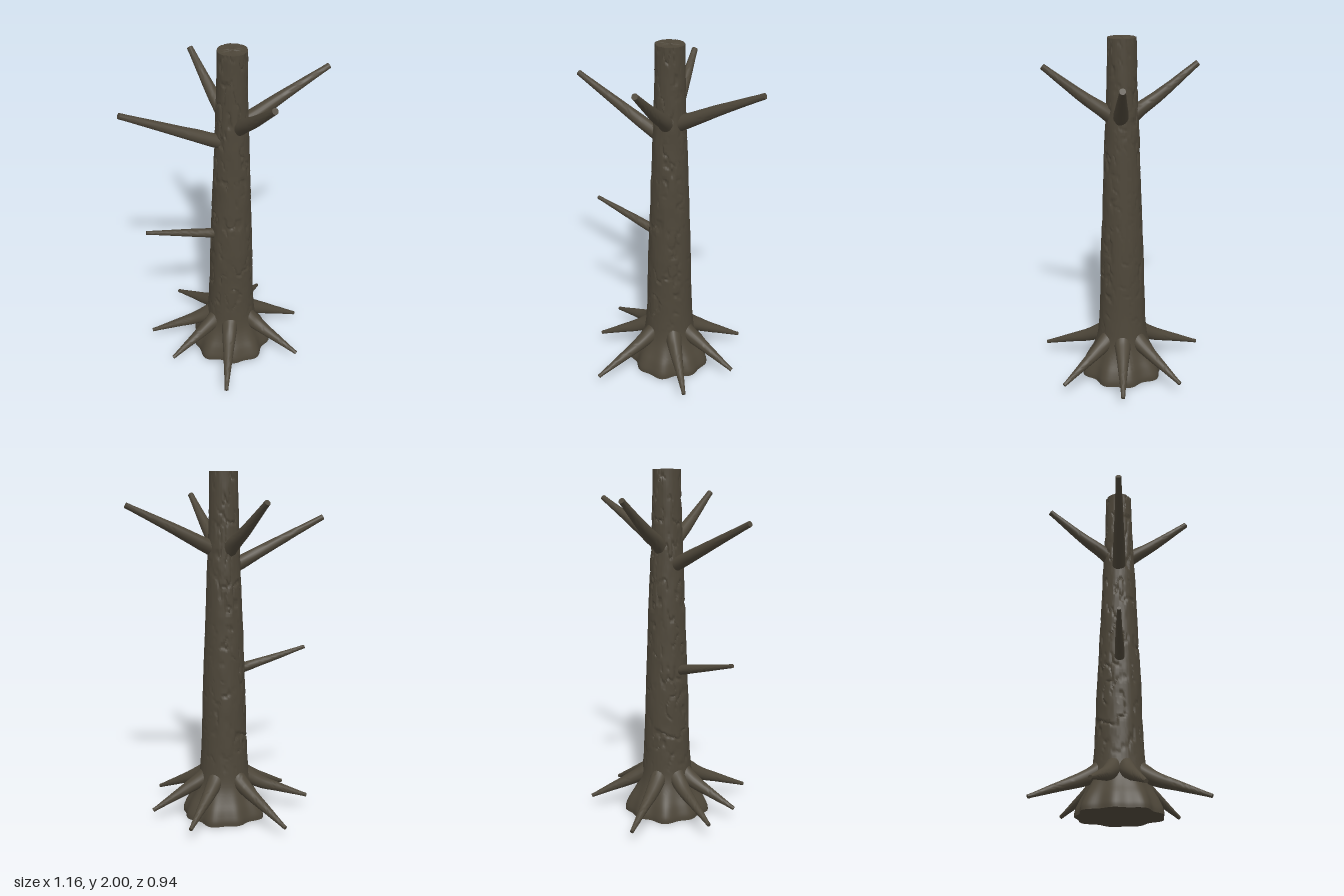
import * as THREE from 'three';
import { mergeVertices, toCreasedNormals } from 'three/addons/utils/BufferGeometryUtils.js';

const CENTER = 0.025; // trunk axis sits slightly off the origin in x and z
const { lerp, smoothstep, clamp } = THREE.MathUtils;

// Seeded lattice noise, periodic in x so bark wraps around the trunk
function hash(x, y) {
  const s = Math.sin(x * 127.1 + y * 311.7) * 43758.5453;
  return s - Math.floor(s);
}
function noise(x, y, period) {
  const ix = Math.floor(x), iy = Math.floor(y);
  const fx = smoothstep(x - ix, 0, 1), fy = smoothstep(y - iy, 0, 1);
  const h = (i, j) => hash((((ix + i) % period) + period) % period, iy + j);
  return lerp(lerp(h(0, 0), h(1, 0), fx), lerp(h(0, 1), h(1, 1), fx), fy);
}

// Keep only positions, weld the seam, and smooth all but the sharp rims
function finish(geometry, crease) {
  geometry.deleteAttribute('uv');
  geometry.deleteAttribute('normal');
  return toCreasedNormals(mergeVertices(geometry, 1e-5), crease);
}

// Trunk: lathe with a scalloped foot and furrowed bark
function trunkGeometry() {
  const outline = [
    [0.235, 0], [0.232, 0.03], [0.212, 0.08], [0.185, 0.13], [0.163, 0.18], [0.15, 0.23],
    [0.142, 0.3], [0.133, 0.45], [0.122, 0.8], [0.112, 1.05], [0.096, 1.45], [0.085, 1.7], [0.079, 2],
  ].map(([r, y]) => new THREE.Vector2(r, y));
  const side = new THREE.SplineCurve(outline).getSpacedPoints(230);
  const cap = [0.06, 0.045, 0.03, 0.015, 0].map((r) => new THREE.Vector2(r, 2));
  const geometry = new THREE.LatheGeometry([new THREE.Vector2(0, 0), ...side, ...cap], 112);

  const p = geometry.attributes.position;
  for (let i = 0; i < p.count; i++) {
    const x = p.getX(i), y = p.getY(i), z = p.getZ(i);
    const r = Math.hypot(x, z);
    if (r < 1e-4) continue;
    const a = Math.atan2(z, x);
    const turn = a / (Math.PI * 2);
    // scalloped foot, fading out at root height
    const foot = 1 - smoothstep(y, 0.02, 0.26);
    let scale = 1 + foot * (0.045 * Math.cos(9 * a + 0.6) + 0.035 * Math.sin(5 * a));
    // vertical furrows where the noise crosses its middle value
    const n = noise(turn * 18, y * 9, 18) * 0.7 + noise(turn * 36, y * 20, 36) * 0.3;
    const furrow = 1 - smoothstep(Math.abs(n - 0.5), 0.01, 0.07);
    const broken = smoothstep(noise(turn * 14, y * 16 + 50, 14), 0.25, 0.55);
    const onBark = smoothstep(y, 0.24, 0.4) * (r > 0.07 ? 1 : 0);
    const calm = 1 - 0.65 * smoothstep(Math.cos(a), 0.6, 0.95);
    const depth = 0.008 * furrow * broken - 0.006 * (n - 0.5);
    scale -= (onBark * calm * depth) / r;
    // rough cut on the top face
    const cut = y > 1.999 && r < 0.07 ? 0.004 * hash(Math.round(x * 900), Math.round(z * 900)) : 0;
    p.setXYZ(i, x * scale, y - cut, z * scale);
  }
  geometry.translate(CENTER, 0, CENTER);
  return finish(geometry, 1.1);
}

// Limb: tapered tube along a curve with a flat tip and faint grain
function limbGeometry(points, baseRadius, tipRadius) {
  const rings = 30, sides = 20;
  const curve = new THREE.CatmullRomCurve3(points.map((q) => new THREE.Vector3(...q)));
  const geometry = new THREE.TubeGeometry(curve, rings, 1, sides, false);
  const p = geometry.attributes.position;
  const v = new THREE.Vector3(), end = curve.getPointAt(1);
  for (let i = 0; i <= rings; i++) {
    const u = clamp(i / (rings - 1), 0, 1);
    const center = curve.getPointAt(i / rings);
    const target = i >= rings - 1 ? end : center;
    for (let j = 0; j <= sides; j++) {
      const k = i * (sides + 1) + j;
      const grain = 1 + 0.14 * (1 - u) * (noise((j % sides) / 2, u * 7 + baseRadius * 90, sides / 2) - 0.5);
      const radius = i === rings ? 0 : lerp(baseRadius, tipRadius, u) * grain;
      v.fromBufferAttribute(p, k).sub(center).multiplyScalar(radius).add(target);
      p.setXYZ(k, v.x, v.y, v.z);
    }
  }
  return finish(geometry, 0.9);
}

export function createModel() {
  const group = new THREE.Group();
  const bark = new THREE.MeshStandardMaterial({ color: 0x4d4639 });
  bark.name = 'darkBark';

  const add = (name, geometry) => {
    const mesh = new THREE.Mesh(geometry, bark);
    mesh.name = name;
    group.add(mesh);
  };

  add('trunk', trunkGeometry());

  // Branches: path, base radius, tip radius
  const branches = {
    leftBranch: [[[0.03, 1.55, 0.03], [0.12, 1.595, 0.045], [0.33, 1.705, 0.075], [0.57, 1.825, 0.108]], 0.046, 0.016],
    rightBranch: [[[0.0, 1.46, 0.02], [-0.08, 1.497, 0.01], [-0.32, 1.615, -0.025], [-0.573, 1.737, -0.066]], 0.042, 0.016],
    lowerRightBranch: [[[0.0, 0.855, 0.02], [-0.1, 0.88, 0.01], [-0.28, 0.925, -0.02], [-0.475, 0.975, -0.05]], 0.033, 0.011],
    frontBranch: [[[0.03, 1.54, 0.04], [0.033, 1.6, 0.115], [0.03, 1.69, 0.24], [0.025, 1.857, 0.45]], 0.046, 0.017],
    backBranch: [[[0.02, 1.53, 0.01], [0.018, 1.6, -0.065], [0.01, 1.685, -0.19], [-0.006, 1.848, -0.4]], 0.046, 0.017],
  };
  for (const [name, [path, base, tip]] of Object.entries(branches)) {
    add(name, limbGeometry(path, base, tip));
  }

  // Roots: tips spread around the foot, each drooping out of the trunk
  const rootTips = [
    [-0.105, 0.06, -0.465], [-0.425, 0.085, -0.183], [-0.413, 0.08, 0.09], [-0.243, 0.063, 0.462],
    [0.28, 0.065, 0.405], [0.46, 0.063, 0.09], [0.38, 0.07, -0.255],
  ];
  rootTips.forEach(([x, y, z], i) => {
    const dx = x - CENTER, dz = z - CENTER, reach = Math.hypot(dx, dz);
    const at = (r, h) => [CENTER + (dx / reach) * r, h, CENTER + (dz / reach) * r];
    const path = [at(0.085, 0.265), at(0.135, 0.225), at(0.22, 0.178), at(0.33, lerp(y, 0.178, (reach - 0.33) / (reach - 0.22))), [x, y, z]];
    add('root' + (i + 1), limbGeometry(path, 0.053, 0.011));
  });

  return group;
}
